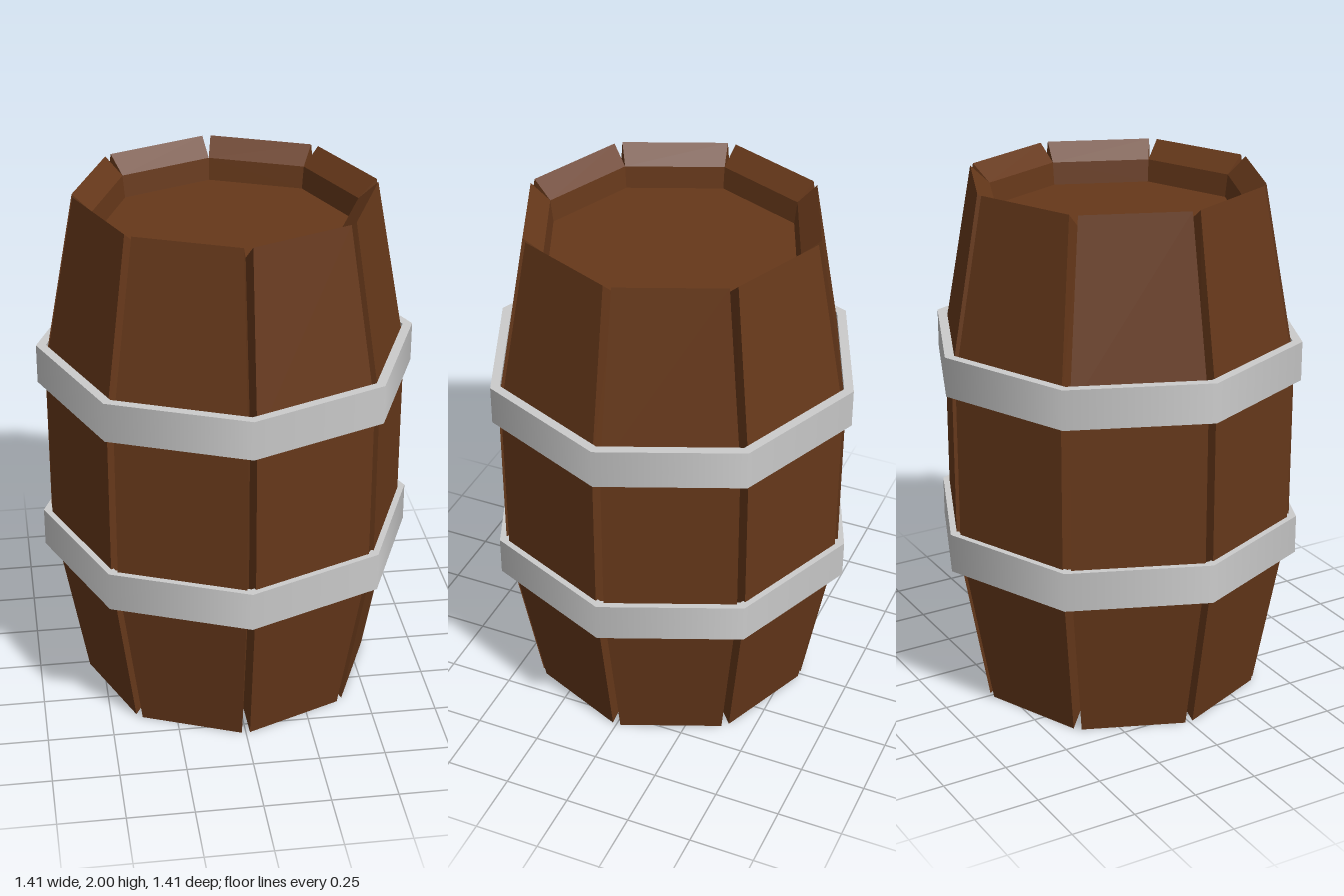
import * as THREE from 'three';
import { mergeGeometries } from 'three/addons/utils/BufferGeometryUtils.js';

const SIDES = 8;
const STEP = (Math.PI * 2) / SIDES;
const GAP = 0.017;

// Corner radius and height of the staves, outside and inside, bottom to top
const OUTER = [[0.56, 0], [0.682, 0.667], [0.682, 1.333], [0.56, 2]];
const INNER = [[0.485, 0.065], [0.61, 0.667], [0.61, 1.333], [0.485, 1.935]];

const corner = ([r, y], a) => new THREE.Vector3(Math.sin(a) * r, y, Math.cos(a) * r);

// One bent plank with sharp bevelled ends; its sides slope in to form V grooves
function staveGeometry() {
  const rows = OUTER.map((o, i) => {
    const left = corner(o, 0), right = corner(o, STEP);
    const inset = right.clone().sub(left).setLength(GAP);
    return {
      ol: left.add(inset), or: right.sub(inset),
      il: corner(INNER[i], 0), ir: corner(INNER[i], STEP),
    };
  });
  const pos = [];
  const quad = (a, b, c, d) => [a, b, c, a, c, d].forEach((p) => pos.push(p.x, p.y, p.z));
  for (let i = 0; i < rows.length - 1; i++) {
    const b = rows[i], t = rows[i + 1];
    quad(b.ol, b.or, t.or, t.ol); // outer face
    quad(b.or, b.ir, t.ir, t.or); // groove sides
    quad(b.il, b.ol, t.ol, t.il);
  }
  const bottom = rows[0], top = rows[rows.length - 1];
  quad(top.ol, top.or, top.ir, top.il); // bevelled ends
  quad(bottom.il, bottom.ir, bottom.or, bottom.ol);
  const geo = new THREE.BufferGeometry();
  geo.setAttribute('position', new THREE.Float32BufferAttribute(pos, 3));
  geo.computeVertexNormals();
  return geo;
}

// Flat-sided hoop with smooth outer shading
function hoopGeometry(rIn, rOut, h) {
  const ring = (sign) => new THREE.RingGeometry(rIn, rOut, SIDES)
    .rotateX(-sign * Math.PI / 2).translate(0, sign * h / 2, 0);
  return mergeGeometries([
    new THREE.CylinderGeometry(rOut, rOut, h, SIDES, 1, true),
    new THREE.CylinderGeometry(rIn, rIn, h, SIDES, 1, true),
    ring(1), ring(-1),
  ]);
}

export function createModel() {
  const model = new THREE.Group();
  model.name = 'barrel';
  const wood = new THREE.MeshStandardMaterial({ color: 0x66381a, flatShading: true, side: THREE.DoubleSide });
  const metal = new THREE.MeshStandardMaterial({ color: 0xcccccc, side: THREE.DoubleSide });

  const add = (name, geo, mat, y = 0) => {
    const mesh = new THREE.Mesh(geo, mat);
    mesh.name = name;
    mesh.position.y = y;
    model.add(mesh);
    return mesh;
  };

  // Staves
  const stave = staveGeometry();
  for (let i = 0; i < SIDES; i++) add('stave', stave, wood).rotation.y = i * STEP;

  // Recessed lid and flat base
  const head = (pts) => new THREE.LatheGeometry(pts.map((p) => new THREE.Vector2(...p)), SIDES);
  add('lid', head([[0.485, 1.935], [0.475, 1.85], [0, 1.85]]), wood);
  add('base', head([[0, 0.065], [0.485, 0.065]]), wood);

  // Hoops
  const hoop = hoopGeometry(0.67, 0.707, 0.15);
  add('lowerHoop', hoop, metal, 0.645);
  add('upperHoop', hoop, metal, 1.345);

  return model;
}
